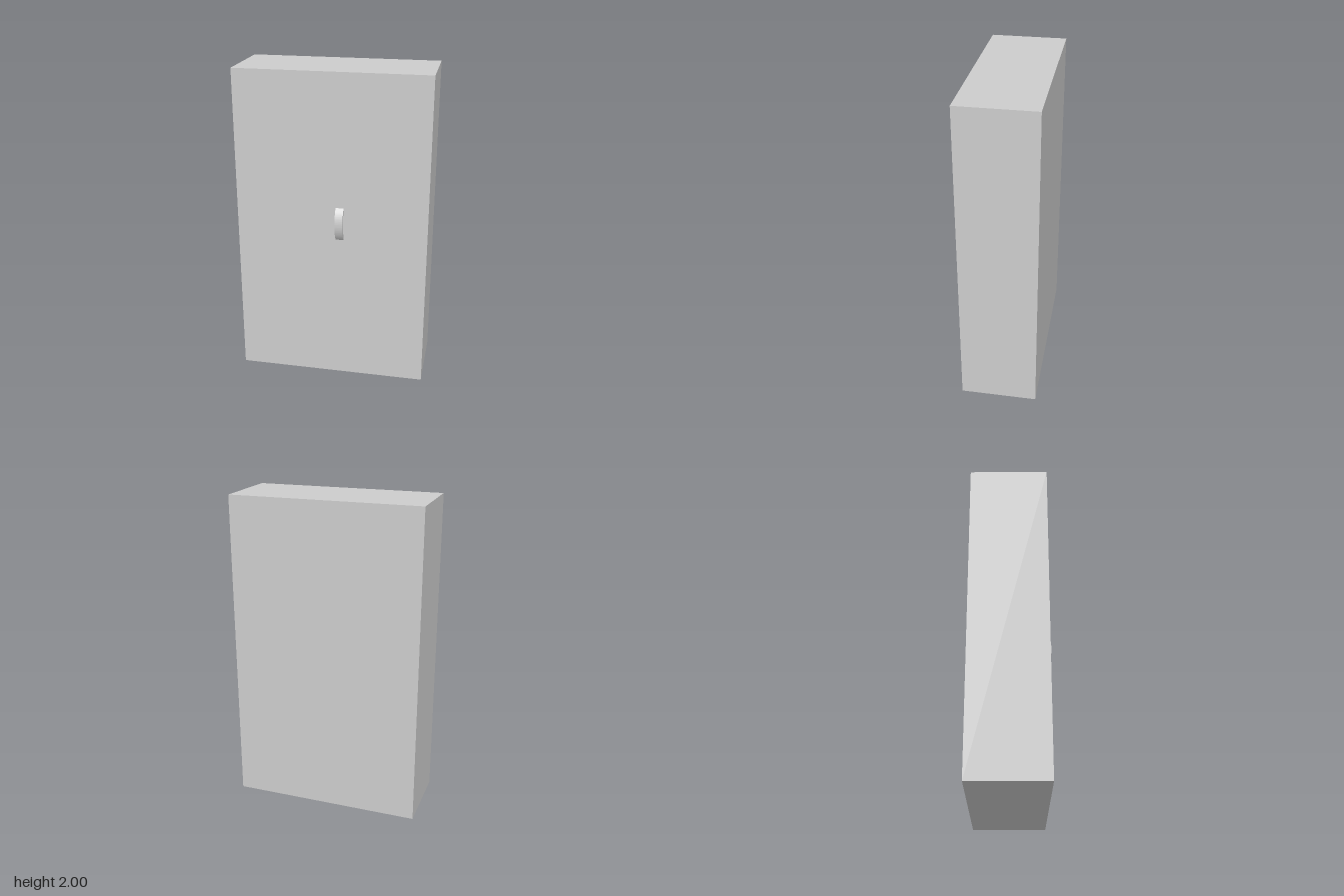
import * as THREE from 'three';
import { toCreasedNormals } from 'three/addons/utils/BufferGeometryUtils.js';

export function createModel() {
  const group = new THREE.Group();
  const material = new THREE.MeshStandardMaterial({ color: 0xcccccc });

  // Plain box body, set back a little so the handle fits in the depth
  const frontZ = 0.22;
  const body = new THREE.Mesh(new THREE.BoxGeometry(1.2, 2, 0.48), material);
  body.name = 'cabinetBody';
  body.position.set(0, 1, frontZ - 0.24);
  group.add(body);

  // Bowed strap handle: two concentric arcs cut off at the door face
  const centreZ = 0.102, outerR = 0.158, innerR = 0.142;
  const outerA = Math.acos((frontZ - centreZ) / outerR);
  const innerA = Math.acos((frontZ - centreZ) / innerR);
  const profile = new THREE.Shape();
  profile.absarc(0, 0, outerR, -outerA, outerA, false);
  profile.absarc(0, 0, innerR, innerA, -innerA, true);
  const strap = new THREE.ExtrudeGeometry(profile, { depth: 0.05, curveSegments: 20, bevelEnabled: false });
  strap.rotateY(-Math.PI / 2); // profile x becomes z, depth runs along -x
  const handle = new THREE.Mesh(toCreasedNormals(strap, 0.6), material);
  handle.name = 'doorHandle';
  handle.position.set(0.08, 1.06, centreZ);
  group.add(handle);

  return group;
}
